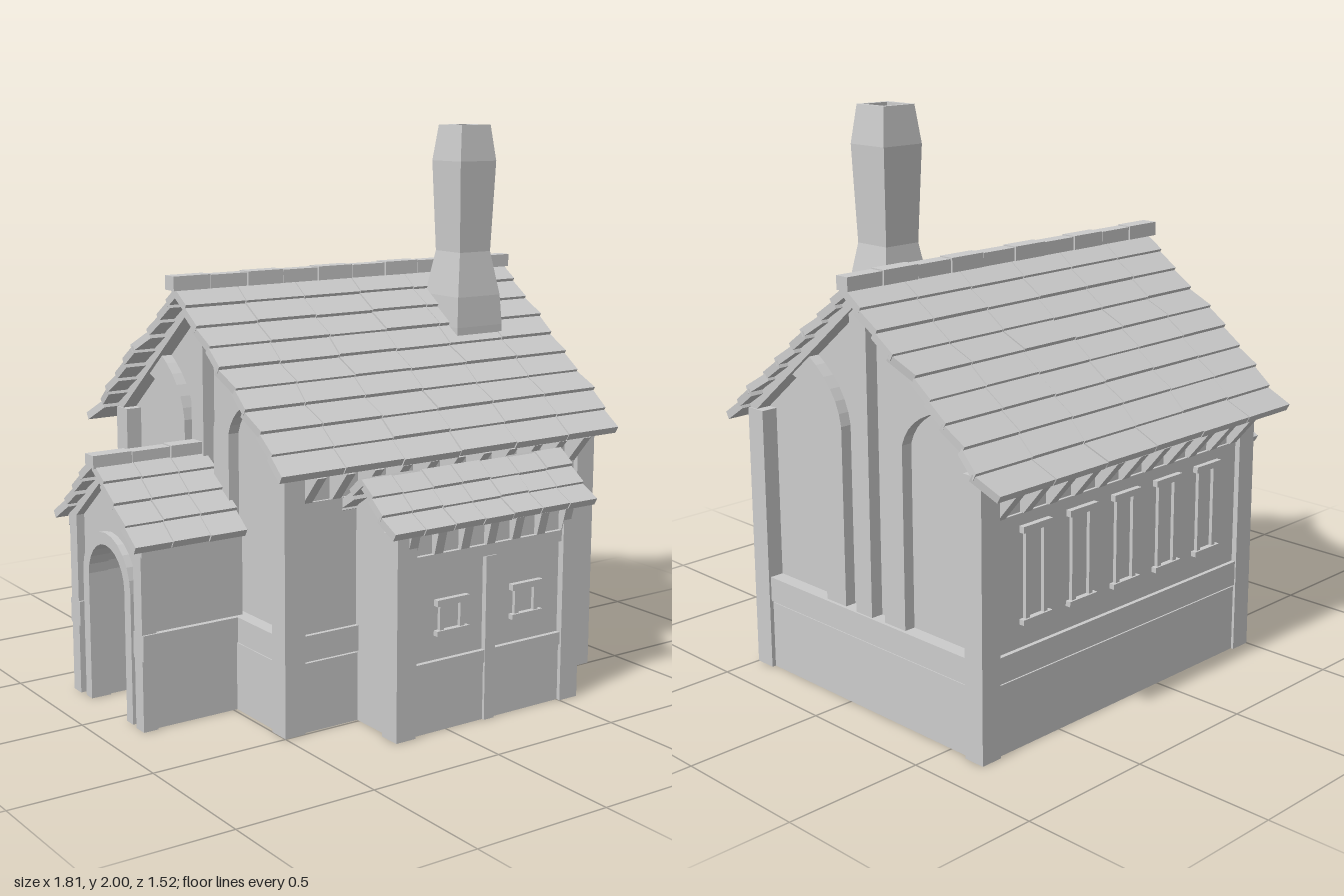
import * as THREE from 'three';
import { mergeGeometries } from 'three/addons/utils/BufferGeometryUtils.js';

const mat = new THREE.MeshStandardMaterial({ color: 0xcccccc, flatShading: true });

let seed = 7;
const jitter = (a) => {
  seed = (seed * 16807) % 2147483647;
  return (seed / 2147483647 - 0.5) * 2 * a;
};

function add(parent, name, geo) {
  const m = new THREE.Mesh(geo, mat);
  m.name = name;
  parent.add(m);
  return m;
}

function group(parent, name, x = 0, z = 0) {
  const g = new THREE.Group();
  g.name = name;
  g.position.set(x, 0, z);
  parent.add(g);
  return g;
}

// Box given by its limits
function box(parent, name, x0, x1, y0, y1, z0, z1) {
  const g = new THREE.BoxGeometry(x1 - x0, y1 - y0, z1 - z0);
  g.translate((x0 + x1) / 2, (y0 + y1) / 2, (z0 + z1) / 2);
  return add(parent, name, g);
}

// Extrude a (-z, y) profile along x
function alongX(parent, name, shape, x0, x1) {
  const g = new THREE.ExtrudeGeometry(shape, { depth: x1 - x0, bevelEnabled: false, curveSegments: 6 });
  g.rotateY(Math.PI / 2).translate(x0, 0, 0);
  return add(parent, name, g);
}

const poly = (pts) => new THREE.Shape(pts.map((p) => new THREE.Vector2(...p)));
const gable = (half, eave, apex) => poly([[-half, 0], [half, 0], [half, eave], [0, apex], [-half, eave]]);

// Pair of sloping boards under the roof edge
function rafters(parent, half, eave, apex, t, x0, x1) {
  alongX(parent, 'gableRafters', poly([
    [-half, eave], [-half, eave - t], [0, apex - t], [half, eave - t], [half, eave], [0, apex],
  ]), x0, x1);
}

// Two slopes of overlapping tiles with wavering joints
function roof(parent, { x0, x1, cols, rows, d, y, pitch, rise, wobble }) {
  const t = 0.027, gap = 0.002, w = (x1 - x0) / cols;
  for (const side of [0, 1]) {
    const shift = Array.from({ length: rows + 1 }, () =>
      Array.from({ length: cols + 1 }, () => jitter(wobble * 0.25)));
    shift.forEach((row) => { const s = jitter(wobble); row.forEach((_, i) => { row[i] += s; }); });
    const tiles = [];
    for (let r = 0; r < rows; r++) {
      for (let c = 0; c < cols; c++) {
        const g = new THREE.BoxGeometry(1, 1, 1);
        const p = g.attributes.position;
        const lift = jitter(0.002);
        for (let i = 0; i < p.count; i++) {
          const right = p.getX(i) > 0, top = p.getY(i) > 0, low = p.getZ(i) > 0;
          const k = c + (right ? 1 : 0);
          const run = low ? 0 : pitch * 1.22;
          p.setXYZ(i,
            x0 + k * w + shift[low ? r : r + 1][k] + (right ? -gap : gap),
            y + r * rise + run * 0.64 + lift - (top ? 0 : t * 0.9),
            Math.max(d - r * pitch - run, 0) - (top ? 0 : 0.014));
        }
        g.computeVertexNormals();
        tiles.push(g);
      }
    }
    const m = add(parent, 'roofTiles', mergeGeometries(tiles));
    if (side) {
      // turn the second slope about the roof's own middle
      m.rotation.y = Math.PI;
      m.position.x = x0 + x1;
    }
  }
}

function ridge(parent, x0, x1, n, y, h) {
  const w = (x1 - x0) / n;
  for (let i = 0; i < n; i++) {
    const o = (i % 2) * 0.003;
    box(parent, 'ridgeCap', x0 + i * w + 0.002, x0 + (i + 1) * w - 0.002, y - h, y - o, -0.03 + o, 0.03 - o);
  }
}

// Window frame on a wall facing +z
function windowFrame(parent, x, y0, y1, z, half) {
  const g = group(parent, 'window', x, z);
  const e = half + 0.016;
  box(g, 'lintel', -e, e, y1 - 0.022, y1, -0.01, 0.02);
  box(g, 'sill', -e, e, y0, y0 + 0.018, -0.01, 0.02);
  for (const s of [-1, 1]) {
    const c = s * (half - 0.009);
    box(g, 'jamb', c - 0.009, c + 0.009, y0, y1, -0.01, 0.013);
  }
}

// Wedges that carry the eaves, on the +z side
function brackets(parent, n, span, wallD, y0, reach, y1, yTop) {
  for (let i = 0; i < n; i++) {
    const x = -span + (2 * span * i) / (n - 1);
    alongX(parent, 'eaveBracket', poly([
      [-wallD + 0.02, y0], [-wallD + 0.02, yTop], [-reach, y1], [-wallD - 0.015, y0],
    ].reverse()), x - 0.018, x + 0.018);
  }
}

function mainHouse(root) {
  const h = group(root, 'mainHouse', 0.18, -0.08);
  alongX(h, 'walls', gable(0.55, 0.985, 1.44), -0.62, 0.62);
  box(h, 'plinth', -0.665, 0.665, 0, 0.243, -0.57, 0.57);
  box(h, 'sillBeam', -0.672, 0.672, 0.25, 0.34, -0.575, 0.575);
  box(h, 'wallPanel', -0.62, 0.62, 0.34, 0.79, -0.56, 0.56);
  for (const sx of [-1, 1]) for (const sz of [-1, 1]) {
    const x = sx * 0.64, z = sz * 0.54;
    box(h, 'cornerPost', x - 0.04, x + 0.04, 0, 0.95, z - 0.04, z + 0.04);
  }
  // timber framing of both gables
  for (const turn of [0, Math.PI]) {
    const g = group(h, 'gableFrame');
    g.rotation.y = turn;
    box(g, 'kingPost', 0.61, 0.665, 0.335, 1.41, -0.04, 0.04);
    rafters(g, 0.58, 0.96, 1.44, 0.045, 0.61, 0.675);
    for (const s of [-1, 1]) {
      const b = new THREE.Shape();
      b.moveTo(s * 0.1, 0.34);
      b.lineTo(s * 0.2, 0.34);
      b.lineTo(s * 0.2, 0.97);
      b.quadraticCurveTo(s * 0.23, 1.07, s * 0.37, 1.11);
      b.lineTo(s * 0.27, 1.19);
      b.quadraticCurveTo(s * 0.12, 1.1, s * 0.1, 0.97);
      alongX(g, 'curvedBrace', b, 0.61, 0.66);
    }
  }
  for (const turn of [0, Math.PI]) {
    const e = group(h, 'eaves');
    e.rotation.y = turn;
    brackets(e, 11, 0.58, 0.55, 0.79, 0.65, 0.89, 0.96);
  }
  // row of tall windows along the back
  const back = group(h, 'backWindows');
  back.rotation.y = Math.PI;
  for (let i = -2; i <= 2; i++) windowFrame(back, i * 0.215, 0.42, 0.75, 0.56, 0.05);
  roof(h, { x0: -0.75, x1: 0.71, cols: 6, rows: 9, d: 0.675, y: 0.92, pitch: 0.0735, rise: 0.061, wobble: 0.016 });
  ridge(h, -0.77, 0.725, 10, 1.5, 0.05);
}

function frontBay(root) {
  const b = group(root, 'frontBay', 0.18, 0.58);
  alongX(b, 'bayWalls', gable(0.135, 0.72, 0.835), -0.38, 0.38);
  box(b, 'bayPlinth', -0.37, 0.37, 0, 0.205, 0, 0.145);
  box(b, 'bayBeam', -0.37, 0.37, 0.205, 0.25, 0, 0.152);
  box(b, 'bayTopBeam', -0.37, 0.37, 0.58, 0.62, 0, 0.15);
  box(b, 'bayMiddlePost', -0.022, 0.022, 0, 0.58, 0.1, 0.155);
  for (const s of [-1, 1]) {
    box(b, 'bayCornerPost', s * 0.36 - 0.04, s * 0.36 + 0.04, 0, 0.705, 0.08, 0.16);
    windowFrame(b, s * 0.163 + 0.002, 0.335, 0.46, 0.135, 0.052);
  }
  brackets(b, 7, 0.335, 0.135, 0.62, 0.172, 0.7, 0.725);
  roof(b, { x0: -0.435, x1: 0.445, cols: 7, rows: 3, d: 0.185, y: 0.722, pitch: 0.061, rise: 0.051, wobble: 0.007 });
}

function sidePorch(root) {
  const a = group(root, 'sidePorch', -0.86, -0.08);
  // walls with an arched passage through them
  const r = 0.14, spring = 0.46;
  const s = new THREE.Shape();
  s.moveTo(-0.25, 0);
  s.lineTo(-r, 0);
  s.lineTo(-r, spring);
  s.absarc(0, spring, r, Math.PI, 0, true);
  s.lineTo(r, 0);
  s.lineTo(0.25, 0);
  s.lineTo(0.25, 0.66);
  s.lineTo(0, 0.865);
  s.lineTo(-0.25, 0.66);
  alongX(a, 'porchWalls', s, 0.03, 0.4);
  const f = new THREE.Shape();
  f.moveTo(-r - 0.035, 0);
  f.lineTo(-r + 0.008, 0);
  f.lineTo(-r + 0.008, spring);
  f.absarc(0, spring, r - 0.008, Math.PI, 0, true);
  f.lineTo(r - 0.008, 0);
  f.lineTo(r + 0.035, 0);
  f.lineTo(r + 0.035, spring);
  f.absarc(0, spring, r + 0.035, 0, Math.PI, false);
  alongX(a, 'archFrame', f, 0.005, 0.08);
  for (const k of [-1, 1]) {
    const z = k * 0.235;
    box(a, 'porchPost', 0, 0.055, 0, 0.665, z - 0.027, z + 0.027);
    box(a, 'porchBeam', 0, 0.37, 0.25, 0.34, z - 0.035, z + 0.035);
  }
  rafters(a, 0.27, 0.645, 0.865, 0.04, 0, 0.06);
  roof(a, { x0: -0.045, x1: 0.39, cols: 3, rows: 4, d: 0.305, y: 0.657, pitch: 0.0735, rise: 0.06, wobble: 0.007 });
  ridge(a, -0.05, 0.4, 3, 0.915, 0.045);
}

function chimney(root) {
  // square stack, hollow at the top
  const profile = [[0.105, 1.1], [0.105, 1.27], [0.098, 1.38], [0.071, 1.54], [0.083, 1.87], [0.067, 2],
    [0.05, 2], [0.05, 1.88], [0, 1.88]];
  const g = new THREE.LatheGeometry(
    profile.map(([x, y]) => new THREE.Vector2(x * Math.SQRT2, y)), 4, Math.PI / 4).toNonIndexed();
  g.computeVertexNormals();
  add(root, 'chimney', g).position.set(0.555, 0, 0.095);
}

export function createModel() {
  const root = new THREE.Group();
  root.name = 'house';
  mainHouse(root);
  frontBay(root);
  sidePorch(root);
  chimney(root);
  return root;
}
